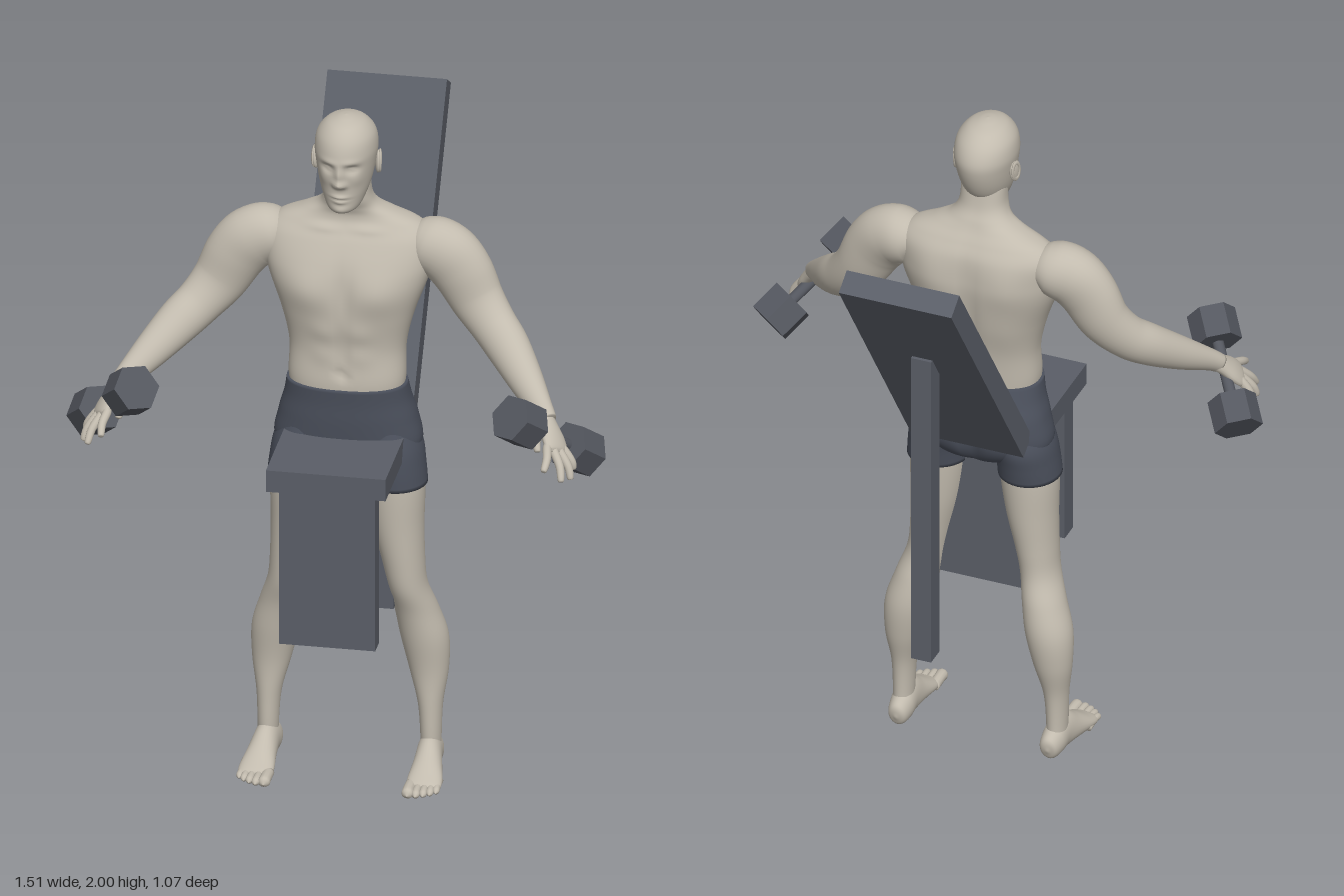
import * as THREE from 'three';

const mat = (name, color, extra) => Object.assign(new THREE.MeshStandardMaterial({ color, ...extra }), { name });
const V = (x, y, z) => new THREE.Vector3(x, y, z);

// Smooth tube through rows of [x, y, z, halfWidth, halfDepth].
// With ref the rings follow the path; without it they stay level (rows go upward).
function loft(rows, { ref = null, seg = 28, sub = 5, pow = 2, bend = null } = {}) {
  const path = new THREE.CatmullRomCurve3(rows.map(r => V(r[0], r[1], r[2])), false, 'catmullrom');
  const size = new THREE.CatmullRomCurve3(rows.map(r => V(r[3], r[4], 0)), false, 'catmullrom');
  const n = (rows.length - 1) * sub, pos = [], idx = [];
  const sp = v => Math.sign(v) * Math.pow(Math.abs(v), 2 / pow);
  for (let i = 0; i <= n; i++) {
    const c = path.getPoint(i / n), s = size.getPoint(i / n);
    let u = V(1, 0, 0), v = V(0, 0, -1);
    if (ref) {
      const t = path.getTangent(i / n);
      u = ref.clone().cross(t).normalize();
      v = t.clone().cross(u);
    }
    for (let j = 0; j < seg; j++) {
      const a = j / seg * Math.PI * 2;
      const p = c.clone().addScaledVector(u, sp(Math.cos(a)) * Math.max(s.x, 0.001))
        .addScaledVector(v, sp(Math.sin(a)) * Math.max(s.y, 0.001));
      if (bend) bend(p);
      pos.push(p.x, p.y, p.z);
      if (i < n) {
        const k = i * seg + j, l = i * seg + (j + 1) % seg;
        idx.push(k, l, k + seg, l, l + seg, k + seg);
      }
    }
  }
  // end caps
  const first = path.getPoint(0), last = path.getPoint(1), f = pos.length / 3;
  pos.push(first.x, first.y, first.z, last.x, last.y, last.z);
  for (let j = 0; j < seg; j++) {
    const l = (j + 1) % seg;
    idx.push(f, l, j, f + 1, n * seg + j, n * seg + l);
  }
  const g = new THREE.BufferGeometry();
  g.setAttribute('position', new THREE.Float32BufferAttribute(pos, 3));
  g.setIndex(idx);
  g.computeVertexNormals();
  return g;
}

// Soft bumps [x, y, rx, ry, dz], mirrored, on the front (side 1) or back (side -1).
const sculpt = (zMid, front, back = []) => p => {
  let d = 0;
  for (const [list, side] of [[front, 1], [back, -1]]) {
    const w = THREE.MathUtils.clamp((p.z - zMid) * side / 0.06, 0, 1);
    for (const [x, y, rx, ry, dz] of list)
      d += w * side * dz * Math.exp(-(((Math.abs(p.x) - x) / rx) ** 2) - ((p.y - y) / ry) ** 2);
  }
  p.z += d;
};

const add = (group, name, geo, material) => {
  const m = new THREE.Mesh(geo, material);
  m.name = name;
  group.add(m);
  return m;
};

// Adds a part on the left (+x) and its mirror image on the right.
function pair(group, name, geo, material) {
  add(group, 'left' + name, geo, material);
  const g = geo.clone().scale(-1, 1, 1);
  const ix = g.index ? Array.from(g.index.array) : Array.from({ length: g.attributes.position.count }, (_, i) => i);
  for (let i = 0; i < ix.length; i += 3) [ix[i], ix[i + 1]] = [ix[i + 1], ix[i]];
  g.setIndex(ix);
  g.computeVertexNormals();
  add(group, 'right' + name, g, material);
}

export function createModel() {
  const root = new THREE.Group();
  const skin = mat('skin', 0xc2bbae);
  const cloth = mat('shortsCloth', 0x4b505c);
  const pad = mat('benchGrey', 0x5a5e67);
  const iron = mat('dumbbellGrey', 0x54575f);

  // Bench
  const bench = new THREE.Group();
  bench.name = 'bench';
  root.add(bench);
  const box = (name, w, h, d, y, z) => {
    const m = add(bench, name, new THREE.BoxGeometry(w, h, d), pad);
    m.position.set(0, y, z);
    return m;
  };
  box('seat', 0.335, 0.065, 0.38, 1.008, 0.26);
  box('seatFrontLeg', 0.27, 0.47, 0.06, 0.74, 0.4);
  box('seatRearLeg', 0.27, 0.47, 0.06, 0.74, 0.125);
  box('backrest', 0.335, 0.94, 0.07, 1.42, -0.242).rotation.x = -0.592;
  box('backrestSupport', 0.06, 0.99, 0.06, 1.0, -0.315);

  // Man
  const man = new THREE.Group();
  man.name = 'man';
  root.add(man);

  add(man, 'torso', loft([
    [0, 1.12, 0.12, 0.15, 0.09], [0, 1.2, 0.122, 0.163, 0.098], [0, 1.3, 0.113, 0.163, 0.1],
    [0, 1.4, 0.108, 0.186, 0.115], [0, 1.5, 0.099, 0.222, 0.12], [0, 1.56, 0.093, 0.235, 0.114],
    [0, 1.62, 0.083, 0.235, 0.097], [0, 1.66, 0.08, 0.2, 0.075], [0, 1.69, 0.086, 0.135, 0.062],
    [0, 1.715, 0.096, 0.088, 0.059], [0, 1.75, 0.112, 0.068, 0.058], [0, 1.81, 0.12, 0.064, 0.055],
  ], {
    seg: 64, sub: 8, pow: 2.3, bend: sculpt(0.09,
      [[0.1, 1.48, 0.075, 0.06, 0.016], [0, 1.49, 0.02, 0.08, -0.01], [0, 1.235, 0.012, 0.014, -0.01],
        [0, 1.31, 0.012, 0.08, -0.006], [0.05, 1.36, 0.035, 0.03, 0.005], [0.05, 1.29, 0.035, 0.03, 0.005],
        [0.06, 1.655, 0.05, 0.012, 0.006]],
      [[0, 1.42, 0.025, 0.2, -0.014], [0.11, 1.55, 0.06, 0.08, 0.012], [0.1, 1.4, 0.05, 0.08, 0.005]]),
  }), skin);

  add(man, 'head', loft([
    [0, 1.732, 0.185, 0.022, 0.035], [0, 1.745, 0.174, 0.045, 0.064], [0, 1.78, 0.155, 0.062, 0.088],
    [0, 1.82, 0.143, 0.074, 0.102], [0, 1.87, 0.137, 0.083, 0.114], [0, 1.91, 0.135, 0.087, 0.115],
    [0, 1.95, 0.137, 0.08, 0.1], [0, 1.98, 0.14, 0.057, 0.071], [0, 1.995, 0.142, 0.026, 0.033],
    [0, 2, 0.142, 0.001, 0.001],
  ], {
    seg: 72, sub: 9, bend: sculpt(0.16,
      [[0, 1.858, 0.011, 0.026, 0.012], [0, 1.832, 0.014, 0.011, 0.018], [0.013, 1.828, 0.008, 0.008, 0.006],
        [0.034, 1.876, 0.017, 0.012, -0.013], [0.034, 1.875, 0.01, 0.005, 0.006], [0.03, 1.896, 0.025, 0.009, 0.004],
        [0, 1.79, 0.022, 0.006, 0.007], [0, 1.777, 0.018, 0.006, 0.007], [0, 1.784, 0.022, 0.003, -0.005],
        [0, 1.75, 0.025, 0.013, 0.006], [0.048, 1.84, 0.02, 0.02, 0.004]]),
  }), skin);

  const ear = new THREE.SphereGeometry(1, 16, 12).scale(0.008, 0.033, 0.019);
  ear.rotateY(0.3).rotateX(-0.15).translate(0.086, 1.855, 0.125);
  pair(man, 'Ear', ear, skin);
  pair(man, 'EarHollow', new THREE.TorusGeometry(0.017, 0.005, 6, 18).scale(0.85, 1.6, 0.8)
    .rotateY(Math.PI / 2 + 0.3).rotateX(-0.15).translate(0.091, 1.857, 0.124), skin);

  // Arms, from deltoid to wrist
  pair(man, 'Arm', loft([
    [0.17, 1.6, 0.075, 0.04, 0.05], [0.215, 1.597, 0.08, 0.077, 0.075], [0.27, 1.578, 0.09, 0.088, 0.075],
    [0.315, 1.53, 0.097, 0.087, 0.067], [0.36, 1.45, 0.105, 0.077, 0.059], [0.41, 1.39, 0.133, 0.067, 0.057],
    [0.46, 1.345, 0.178, 0.063, 0.056], [0.525, 1.285, 0.255, 0.05, 0.045], [0.58, 1.235, 0.325, 0.035, 0.03],
    [0.6, 1.212, 0.352, 0.031, 0.025],
  ], { ref: V(0, 0, 1), seg: 32, sub: 6 }), skin);

  // Hands
  const palmUp = V(0.73, 0.66, 0.15);
  pair(man, 'Palm', loft([
    [0.59, 1.222, 0.342, 0.026, 0.024], [0.608, 1.202, 0.362, 0.032, 0.021], [0.625, 1.177, 0.385, 0.042, 0.02],
    [0.638, 1.155, 0.405, 0.043, 0.016], [0.643, 1.147, 0.413, 0.03, 0.008],
  ], { ref: palmUp, seg: 20 }), skin);
  const fingers = [
    [[0.617, 1.168, 0.432], [0.623, 1.152, 0.47], [0.62, 1.13, 0.505]],
    [[0.632, 1.158, 0.418], [0.655, 1.124, 0.448], [0.664, 1.088, 0.474]],
    [[0.645, 1.15, 0.402], [0.673, 1.113, 0.42], [0.683, 1.078, 0.432]],
    [[0.655, 1.145, 0.385], [0.677, 1.115, 0.389], [0.683, 1.09, 0.388]],
    [[0.592, 1.195, 0.375], [0.582, 1.172, 0.4], [0.588, 1.148, 0.42]],
  ];
  fingers.forEach(([a, b, c], i) => {
    const base = V(...a).lerp(V(0.618, 1.185, 0.378), 0.3);
    const tip = V(...c).lerp(V(...b), 0.12);
    pair(man, i < 4 ? 'Finger' + (i + 1) : 'Thumb', loft([
      [...base.toArray(), 0.011, 0.011], [...a, 0.0125, 0.0125], [...b, 0.0115, 0.0115],
      [...tip.toArray(), 0.009, 0.009], [...c, 0.001, 0.001],
    ], { ref: palmUp, seg: 12, sub: 4 }), skin);
  });

  // Legs
  pair(man, 'Leg', loft([
    [0.228, 0.03, 0.085, 0.028, 0.04], [0.228, 0.1, 0.09, 0.029, 0.041], [0.226, 0.2, 0.087, 0.035, 0.044],
    [0.22, 0.3, 0.076, 0.055, 0.056], [0.208, 0.4, 0.078, 0.067, 0.068], [0.188, 0.49, 0.092, 0.061, 0.068],
    [0.168, 0.57, 0.115, 0.055, 0.068], [0.156, 0.65, 0.12, 0.06, 0.073], [0.142, 0.76, 0.12, 0.072, 0.081],
    [0.134, 0.88, 0.12, 0.082, 0.087], [0.125, 0.98, 0.12, 0.08, 0.085],
  ], { seg: 36, sub: 6 }), skin);

  // Feet and toes
  const ground = p => { p.y = Math.max(p.y, 0.004); };
  pair(man, 'Foot', loft([
    [0.225, 0.038, 0.02, 0.004, 0.005], [0.225, 0.04, 0.03, 0.025, 0.034], [0.226, 0.046, 0.065, 0.034, 0.046],
    [0.228, 0.055, 0.11, 0.035, 0.056], [0.232, 0.04, 0.165, 0.041, 0.042], [0.235, 0.024, 0.22, 0.049, 0.026],
    [0.236, 0.016, 0.255, 0.047, 0.016], [0.236, 0.014, 0.268, 0.035, 0.007],
  ], { ref: V(0, 1, 0), seg: 28, bend: ground }), skin);
  [[0.2, 0.315, 0.016], [0.223, 0.316, 0.011], [0.242, 0.308, 0.0105], [0.259, 0.297, 0.01], [0.274, 0.282, 0.0095]]
    .forEach(([x, z, r], i) => pair(man, 'Toe' + (i + 1), loft([
      [x, 0.016, z - 0.08, r, r], [x, 0.018, z - 0.035, r, r], [x + 0.001, 0.015, z - 0.012, r, r],
      [x + 0.001, 0.013, z, 0.001, 0.001],
    ], { ref: V(0, 1, 0), seg: 12, sub: 4, bend: ground }), skin));

  // Shorts
  add(man, 'shorts', loft([
    [0, 0.925, 0.115, 0.06, 0.06], [0, 0.95, 0.11, 0.15, 0.09], [0, 1.0, 0.104, 0.205, 0.108],
    [0, 1.08, 0.105, 0.194, 0.114], [0, 1.14, 0.113, 0.177, 0.108], [0, 1.19, 0.122, 0.168, 0.103],
  ], { seg: 56, sub: 6, pow: 2.3, bend: sculpt(0.1, [], [[0, 1.02, 0.02, 0.07, -0.02], [0.08, 1.02, 0.06, 0.06, 0.006]]) }), cloth);
  pair(man, 'ShortsLeg', loft([
    [0.135, 0.885, 0.12, 0.089, 0.094], [0.131, 0.94, 0.115, 0.087, 0.1], [0.122, 1.0, 0.108, 0.086, 0.104],
    [0.1, 1.07, 0.108, 0.08, 0.09],
  ], { seg: 36 }), cloth);

  // Dumbbells: two hexagonal weights on a handle
  const a = V(0.676, 1.103, 0.288), b = V(0.546, 1.252, 0.455);
  const turn = new THREE.Quaternion().setFromUnitVectors(V(0, 1, 0), b.clone().sub(a).normalize());
  const rod = (r, len, sides, c) => new THREE.CylinderGeometry(r, r, len, sides)
    .applyQuaternion(turn).translate(c.x, c.y, c.z);
  const mid = a.clone().lerp(b, 0.5);
  [a, b].forEach((c, i) => {
    const hex = rod(0.068, 0.092, 6, c).toNonIndexed();
    hex.computeVertexNormals();
    pair(root, i ? 'DumbbellInnerWeight' : 'DumbbellOuterWeight', hex, iron);
  });
  pair(root, 'DumbbellHandle', rod(0.016, 0.2, 16, mid), iron);

  return root;
}
